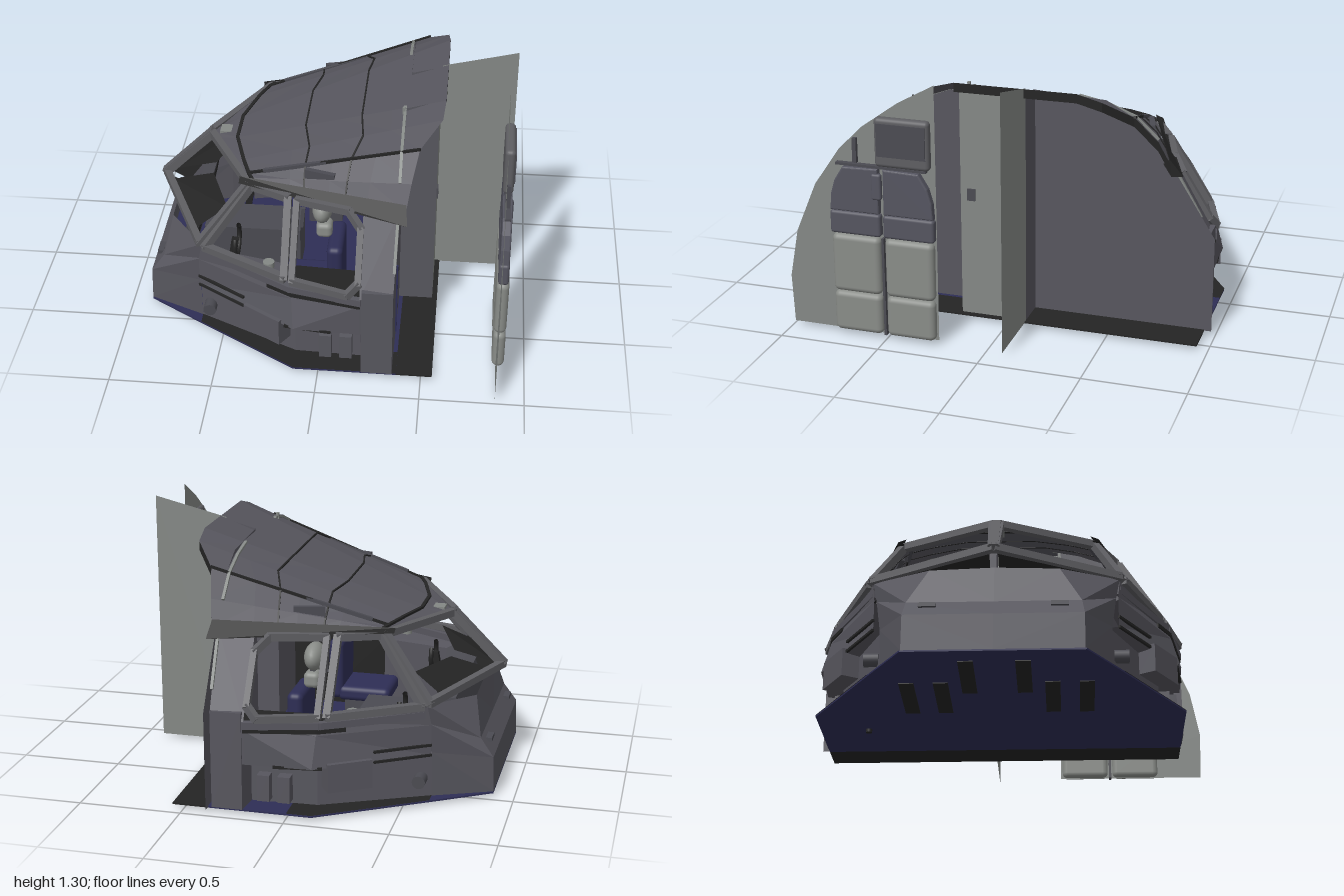
import * as THREE from 'three';
import { RoundedBoxGeometry } from 'three/addons/geometries/RoundedBoxGeometry.js';

export function createModel() {
  const model = new THREE.Group();
  model.name = 'cockpitSection';
  const mat = (name, color) =>
    Object.assign(new THREE.MeshStandardMaterial({ color, side: THREE.DoubleSide }), { name });
  const hull = mat('hull grey', 0x57565e);
  const pale = mat('pale panel', 0x848885);
  const frameGrey = mat('frame grey', 0x5e5e62);
  const black = mat('matte black', 0x242424);
  const navy = mat('navy floor', 0x2e2e55);
  const slate = mat('slate trim', 0x4b4b52);
  const cushionDark = mat('dark cushion', 0x555560);
  const cushionPale = mat('pale cushion', 0x898c88);

  // The cabin is symmetric about its own centreline, slightly off z = 0.
  const cabin = new THREE.Group();
  cabin.name = 'cabin';
  cabin.position.z = -0.045;
  model.add(cabin);

  const V = (p) => new THREE.Vector3(...p);
  const flip = (p, s) => [p[0], p[1], p[2] * s];
  const add = (name, geo, m, parent = cabin) => {
    const mesh = new THREE.Mesh(geo, m);
    mesh.name = name;
    parent.add(mesh);
    return mesh;
  };
  const box = (name, m, c, s, parent = cabin) => {
    const b = add(name, new THREE.BoxGeometry(...s), m, parent);
    b.position.set(...c);
    return b;
  };
  const pad = (name, m, c, s, r, parent = cabin) => {
    const b = add(name, new RoundedBoxGeometry(...s, 4, r), m, parent);
    b.position.set(...c);
    return b;
  };
  // Faceted skin through rows of points
  const loft = (rows) => {
    const pos = [];
    for (let i = 0; i + 1 < rows.length; i++)
      for (let j = 0; j + 1 < rows[i].length; j++) {
        const [a, b, c, d] = [rows[i][j], rows[i][j + 1], rows[i + 1][j + 1], rows[i + 1][j]];
        pos.push(...a, ...b, ...c, ...a, ...c, ...d);
      }
    const g = new THREE.BufferGeometry();
    g.setAttribute('position', new THREE.Float32BufferAttribute(pos, 3));
    g.computeVertexNormals();
    return g;
  };
  // Straight bar between two points
  const bar = (name, m, a, b, w, d = w, parent = cabin) => {
    const A = V(a), B = V(b);
    const mesh = add(name, new THREE.BoxGeometry(w, d, A.distanceTo(B) + w * 0.5), m, parent);
    mesh.position.copy(A).lerp(B, 0.5);
    mesh.quaternion.setFromRotationMatrix(new THREE.Matrix4().lookAt(B, A, new THREE.Vector3(0, 1, 0)));
  };
  const path = (name, m, pts, w, d, closed = false) => {
    const n = pts.length;
    for (let i = 0; i < (closed ? n : n - 1); i++) bar(name, m, pts[i], pts[(i + 1) % n], w, d);
  };
  // Upright plate facing along x, outlined by [z, y] points
  const plate = (name, m, x, pts) => {
    const g = new THREE.ShapeGeometry(new THREE.Shape(pts.map((p) => new THREE.Vector2(...p))));
    add(name, g.rotateY(-Math.PI / 2), m, model).position.x = x;
  };
  const both = (fn) => [1, -1].forEach(fn);

  // Floor
  const floorPart = (name, m, half) => {
    const pts = [...half, ...half.slice().reverse().map(([x, z]) => [x, -z])];
    const s = new THREE.Shape(pts.map(([x, z]) => new THREE.Vector2(x, z)));
    const g = new THREE.ExtrudeGeometry(s, { depth: 0.008, bevelEnabled: false });
    add(name, g.rotateX(Math.PI / 2), m).position.y = 0.025;
  };
  floorPart('floor', navy, [[-0.9, 0.415], [-0.64, 0.58], [-0.12, 0.9], [0.38, 0.9]]);
  floorPart('rearFloor', black, [[0.38, 0.9], [0.555, 0.9]]);
  both((s) => {
    const end = s > 0 ? 0.38 : 0;
    add('floorEdge', loft([
      [[-0.62, 0.027, 0.593 * s], [-0.12, 0.027, 0.901 * s], [end, 0.027, 0.901 * s]],
      [[-0.62, 0.027, 0.5 * s], [-0.12, 0.027, 0.74 * s], [end, 0.027, 0.74 * s]],
    ]), black);
    for (const [x, z] of [[-0.6, 0.13], [-0.35, 0.26], [-0.35, 0.42]])
      box('floorRail', black, [x, 0.0155, z * s], [0.38, 0.006, 0.07]);
  });
  add('floorPeg', new THREE.CylinderGeometry(0.016, 0.016, 0.025, 12), black).position.set(0.06, 0.0125, -0.66);

  // Roof, interpolated between the front and rear sections
  const front = [[-0.48, 0.825, 0], [-0.48, 0.825, 0.1], [-0.42, 0.83, 0.31], [-0.38, 0.825, 0.42], [-0.365, 0.82, 0.45], [-0.35, 0.81, 0.47]];
  const rear = [[0.56, 1.215, 0], [0.56, 1.215, 0.3], [0.55, 1.18, 0.42], [0.45, 1.09, 0.55], [0.42, 0.97, 0.66], [0.4, 0.85, 0.72]];
  const section = (t, lift = 0) => front.map((p, i) => p.map((v, k) => v + (rear[i][k] - v) * t + (k === 1 ? lift : 0)));
  const topFrame = [[-0.63, 0.79, 0], [-0.6, 0.79, 0.06], [-0.48, 0.795, 0.28], [-0.4, 0.8, 0.42], [-0.38, 0.8, 0.455], [-0.37, 0.79, 0.48]];
  both((s) => {
    const m = (pts) => pts.map((p) => flip(p, s));
    add('roof', loft([0, 0.25, 0.5, 0.75, 1].map((t) => m(section(t)))), hull);
    add('roofBrowPanel', loft([m(topFrame), m(front)]), hull);
    path('roofFrontSeam', black, m(section(0, 0.003)), 0.016, 0.012);
    for (const t of [0.34, 0.61]) path('roofSeam', black, m(section(t, 0.001)), 0.008, 0.008);
    const rimEnd = s > 0 ? 2 : 6;
    add('roofRearRim', loft([m(section(1)).slice(0, rimEnd), m(section(1, -0.045)).slice(0, rimEnd)]), black);
    const a = section(0, 0.003), b = section(1, 0.003);
    bar('roofRib', black, flip(a[3], s), flip(b[3], s), 0.012);
    path('roofTrim', pale, m([[0.365, 1.147, 0.262], [0.365, 1.12, 0.4], [0.365, 1.067, 0.537], [0.365, 0.967, 0.645]]), 0.014, 0.012);
    // Dark eave over the side windows
    add('eave', loft([
      [[-0.42, 0.825, 0.45], [-0.42, 0.81, 0.49], [-0.42, 0.8, 0.46]],
      [[0.4, 0.885, 0.71], [0.41, 0.81, 0.78], [0.4, 0.8, 0.72]],
    ].map(m)), black);
    add('eaveEnd', loft([
      [[0.4, 0.885, 0.71], [0.41, 0.81, 0.78]],
      [[0.4, 0.86, 0.68], [0.4, 0.8, 0.72]],
    ].map(m)), black);
    box('roofVent', slate, [-0.02, 0.9, 0.525 * s], [0.15, 0.05, 0.025]).rotation.y = -0.27 * s;
    bar('roofHandrail', slate, [-0.3, 0.855, 0.434 * s], [0.13, 0.985, 0.495 * s], 0.018);

    // Upper side wall, its recessed foot, and the nose
    add('sideWall', loft([
      [[-0.62, 0.24, 0.5], [-0.12, 0.24, 0.72], [0.2, 0.24, 0.74], [0.36, 0.24, 0.86]],
      [[-0.62, 0.25, 0.57], [-0.12, 0.25, 0.885], [0.2, 0.25, 0.895], [0.36, 0.25, 0.895]],
      [[-0.62, 0.4, 0.57], [-0.13, 0.4, 0.84], [0.2, 0.42, 0.9], [0.36, 0.5, 0.9]],
      [[-0.6, 0.5, 0.58], [-0.15, 0.46, 0.81], [0.2, 0.46, 0.9], [0.36, 0.51, 0.9]],
    ].map(m)), hull);
    add('footWall', loft([
      [[-0.62, 0.025, 0.53], [-0.12, 0.025, 0.77], [0.2, 0.025, 0.78], [0.21, 0.025, 0.88], [0.36, 0.025, 0.885]],
      [[-0.62, 0.24, 0.53], [-0.12, 0.24, 0.77], [0.2, 0.24, 0.78], [0.21, 0.24, 0.88], [0.36, 0.24, 0.885]],
    ].map(m)), hull);
    add('rearPillar', loft([
      [[0.2, 0.46, 0.9], [0.36, 0.5, 0.9]],
      [[0.2, 0.82, 0.69], [0.37, 0.85, 0.71]],
    ].map(m)), hull);
    bar('pillarTrim', pale, [0.36, 0.6, 0.86 * s], [0.365, 0.82, 0.735 * s], 0.014);
    add('nose', loft([
      [[-0.9, 0.025, 0], [-0.9, 0.025, 0.41], [-0.62, 0.025, 0.53]],
      [[-0.895, 0.2, 0], [-0.895, 0.2, 0.41], [-0.62, 0.25, 0.54]],
      [[-0.83, 0.29, 0], [-0.83, 0.29, 0.4], [-0.61, 0.4, 0.56]],
      [[-0.79, 0.48, 0], [-0.79, 0.47, 0.3], [-0.6, 0.5, 0.58]],
    ].map(m)), hull);
    box('noseHandle', slate, [-0.86, 0.26, 0.3 * s], [0.03, 0.02, 0.08]);

    // Window frames
    const A = [-0.87, 0.54, 0.01], B = [-0.61, 0.51, 0.58], C = [-0.375, 0.8, 0.47], D = [-0.62, 0.79, 0.02];
    path('windshieldFrame', frameGrey, m([A, B, C, D]), 0.035, 0.035, true);
    path('frontSideWindowFrame', frameGrey, m([[-0.58, 0.5, 0.6], [-0.36, 0.795, 0.48], [-0.17, 0.8, 0.575], [-0.17, 0.48, 0.79]]), 0.036, 0.036, true);
    path('rearSideWindowFrame', frameGrey, m([[-0.13, 0.48, 0.81], [-0.125, 0.805, 0.6], [0.13, 0.81, 0.675], [0.19, 0.75, 0.73], [0.19, 0.53, 0.87], [0.14, 0.48, 0.895]]), 0.03, 0.035, true);
    add('glareshield', loft([
      [[-0.83, 0.52, 0.05], [-0.66, 0.5, 0.46]],
      [[-0.62, 0.57, 0.05], [-0.5, 0.59, 0.38]],
    ].map(m)), black);
    add('glareshieldLip', loft([
      [[-0.86, 0.53, 0.02], [-0.62, 0.5, 0.56]],
      [[-0.76, 0.475, 0.02], [-0.6, 0.48, 0.56]],
    ].map(m)), black);

    // Side console under the windows
    add('frontSideConsole', loft([
      [[-0.55, 0.43, 0.6], [-0.15, 0.43, 0.81]],
      [[-0.5, 0.42, 0.52], [-0.15, 0.42, 0.6]],
      [[-0.5, 0.03, 0.52], [-0.15, 0.03, 0.6]],
    ].map(m)), hull);
    add('rearSideConsole', loft([
      [[-0.15, 0.43, 0.81], [0.22, 0.43, 0.89], [0.36, 0.43, 0.89]],
      [[-0.15, 0.42, 0.6], [0.22, 0.42, 0.62], [0.36, 0.42, 0.62]],
      [[-0.15, 0.03, 0.6], [0.22, 0.03, 0.62], [0.36, 0.03, 0.62]],
    ].map(m)), black);

    // Sill and outer wall details
    bar('windowSill', hull, [-0.58, 0.45, 0.575 * s], [-0.14, 0.445, 0.82 * s], 0.03, 0.035);
    bar('windowSill', hull, [-0.14, 0.445, 0.82 * s], [0.2, 0.445, 0.895 * s], 0.03, 0.035);
    bar('sillGap', black, [-0.25, 0.42, 0.77 * s], [-0.13, 0.42, 0.835 * s], 0.015, 0.02);
    bar('sillGap', black, [-0.13, 0.42, 0.835 * s], [0.2, 0.42, 0.9 * s], 0.015, 0.02);
    for (const y of [0.3, 0.25]) bar('wallStripe', black, [-0.62, y, 0.572 * s], [-0.38, y, 0.723 * s], 0.012, 0.012);
    bar('wallStripe', black, [-0.16, 0.25, 0.86 * s], [0.06, 0.25, 0.888 * s], 0.015, 0.015);
    box('wallLocker', hull, [-0.26, 0.2, 0.765 * s], [0.22, 0.14, 0.09]).rotation.y = -0.56 * s;
    for (const x of [0.03, 0.13]) box('wallHatch', hull, [x, 0.11, 0.8 * s], [0.06, 0.13, 0.06]);
    add('sideKnob', new THREE.CylinderGeometry(0.032, 0.032, 0.07, 20).rotateX(Math.PI / 2), slate).position.set(-0.57, 0.12, 0.58 * s);
    box('rearLocker', hull, [0.285, 0.265, 0.885 * s], [0.15, 0.48, 0.04]);

    // Crew seat, control wheel and tiller
    const z = 0.42 * s;
    pad('seatCushion', navy, [-0.1, 0.2, z], [0.28, 0.08, 0.27], 0.03);
    pad('seatBack', navy, [0.05, 0.33, z], [0.08, 0.32, 0.27], 0.03);
    box('seatBase', slate, [-0.08, 0.09, z], [0.18, 0.14, 0.16]);
    pad('headrestStem', cushionPale, [-0.01, 0.53, z], [0.08, 0.08, 0.09], 0.025);
    bar('headrestPost', slate, [-0.01, 0.54, z], [-0.01, 0.62, z], 0.025);
    const headrest = add('headrest', new THREE.SphereGeometry(1, 20, 14), cushionPale);
    headrest.position.set(-0.02, 0.645, z);
    headrest.scale.set(0.05, 0.068, 0.09);
    bar('controlColumn', black, [-0.52, 0.05, z], [-0.46, 0.42, z], 0.035);
    add('controlWheel', new THREE.TorusGeometry(0.08, 0.012, 8, 20, Math.PI * 1.4).rotateZ(-Math.PI * 1.2).rotateY(Math.PI / 2), black).position.set(-0.45, 0.42, z);
    add('sideTiller', new THREE.CylinderGeometry(0.028, 0.028, 0.03, 16), pale).position.set(-0.26, 0.46, 0.655 * s);
    bar('sideMicrophone', slate, [-0.11, 0.62, z * 1.3], [-0.1, 0.72, z * 1.3], 0.018);
  });
  bar('windshieldCentrePost', frameGrey, [-0.87, 0.54, 0], [-0.62, 0.79, 0], 0.045);
  box('compassHousing', pale, [-0.54, 0.8, 0], [0.08, 0.03, 0.07]);

  // Instrument panel and centre pedestal
  box('instrumentPanel', slate, [-0.7, 0.36, 0], [0.06, 0.24, 0.8]).rotation.z = -0.2;
  for (const z of [-0.3, -0.14, 0.14, 0.3]) box('display', black, [-0.667, 0.38, z], [0.008, 0.13, 0.13]).rotation.z = -0.2;
  box('centrePedestal', slate, [-0.42, 0.15, 0], [0.5, 0.25, 0.22]);

  // Rear walls: set-back walls each side of a pale central entry
  plate('rightRearWall', hull, 0.38, [[-0.09, 0.02], [-0.98, 0.02], [-0.98, 0.5], [-0.76, 0.85], [-0.69, 0.95], [-0.57, 1.07], [-0.44, 1.14], [-0.09, 1.16]]);
  plate('leftRearWall', hull, 0.36, [[0.24, 0.02], [0.86, 0.02], [0.85, 0.5], [0.67, 0.85], [0.6, 0.95], [0.48, 1.07], [0.35, 1.13], [0.24, 1.15]]);
  plate('entryWall', pale, 0.53, [[-0.09, 0.02], [0.24, 0.02], [0.24, 1.2], [-0.09, 1.2]]);
  const alongX = (name, m, z, [x0, x1, y0, y1]) => add(name, loft([
    [[x0, 0.02, z], [x1, 0.02, z]],
    [[x0, y0, z], [x1, y1, z]],
  ]), m, model);
  alongX('entryReturnWall', hull, 0.24, [0.36, 0.53, 1.15, 1.2]);
  alongX('entryReturnWall', hull, -0.09, [0.38, 0.53, 1.16, 1.2]);
  alongX('corridorWall', pale, -0.09, [0.53, 0.9, 1.21, 1.3]);
  bar('entryTrim', pale, [0.36, 0.6, 0.25], [0.36, 1.16, 0.25], 0.014, 0.014, model);
  box('entryLatch', slate, [0.534, 0.65, 0.185], [0.008, 0.06, 0.04], model);
  box('doorEdge', navy, [0.365, 0.3, 0.62], [0.008, 0.4, 0.012], model);

  // Curved bulkhead carrying the folding double seat
  plate('bulkhead', pale, 0.86, [[0.24, 0.02], [0.99, 0.02], [1, 0.26], [0.955, 0.5], [0.85, 0.75], [0.72, 0.94], [0.6, 1.06], [0.42, 1.19], [0.24, 1.29]]);
  const seat = new THREE.Group();
  seat.name = 'doubleJumpSeat';
  seat.position.set(0.87, 0, 0.505);
  model.add(seat);
  both((s) => {
    const z = 0.134 * s;
    pad('lowerCushion', cushionPale, [0, 0.125, z], [0.06, 0.205, 0.245], 0.028, seat);
    pad('middleCushion', cushionPale, [0, 0.375, z], [0.06, 0.295, 0.245], 0.028, seat);
    pad('lumbarCushion', cushionDark, [0, 0.583, z], [0.05, 0.115, 0.255], 0.015, seat);
    const sh = new THREE.Shape([[0.02, 0.65], [0.25, 0.65], [0.245, 0.72], [0.225, 0.79], [0.185, 0.855], [0.02, 0.86]].map(([a, b]) => new THREE.Vector2(a * s, b)));
    add('backCushion', new THREE.ExtrudeGeometry(sh, { depth: 0.03, bevelSize: 0.008, bevelThickness: 0.008, bevelSegments: 3 }).rotateY(-Math.PI / 2), cushionDark, seat).position.x = 0.015;
  });
  box('seatDivider', slate, [-0.005, 0.27, 0], [0.04, 0.5, 0.012], seat);
  pad('centreRest', cushionDark, [0.015, 0.78, 0.02], [0.03, 0.13, 0.05], 0.012, seat);
  box('seatTopRail', slate, [0, 0.875, 0], [0.03, 0.012, 0.45], seat);
  pad('storagePanel', frameGrey, [0, 1, -0.11], [0.05, 0.24, 0.27], 0.02, seat);
  box('storageScreen', slate, [0.026, 1.015, -0.11], [0.008, 0.16, 0.24], seat);
  bar('seatHandle', slate, [0, 0.89, 0.13], [0, 1, 0.13], 0.02, 0.02, seat);
  return model;
}
